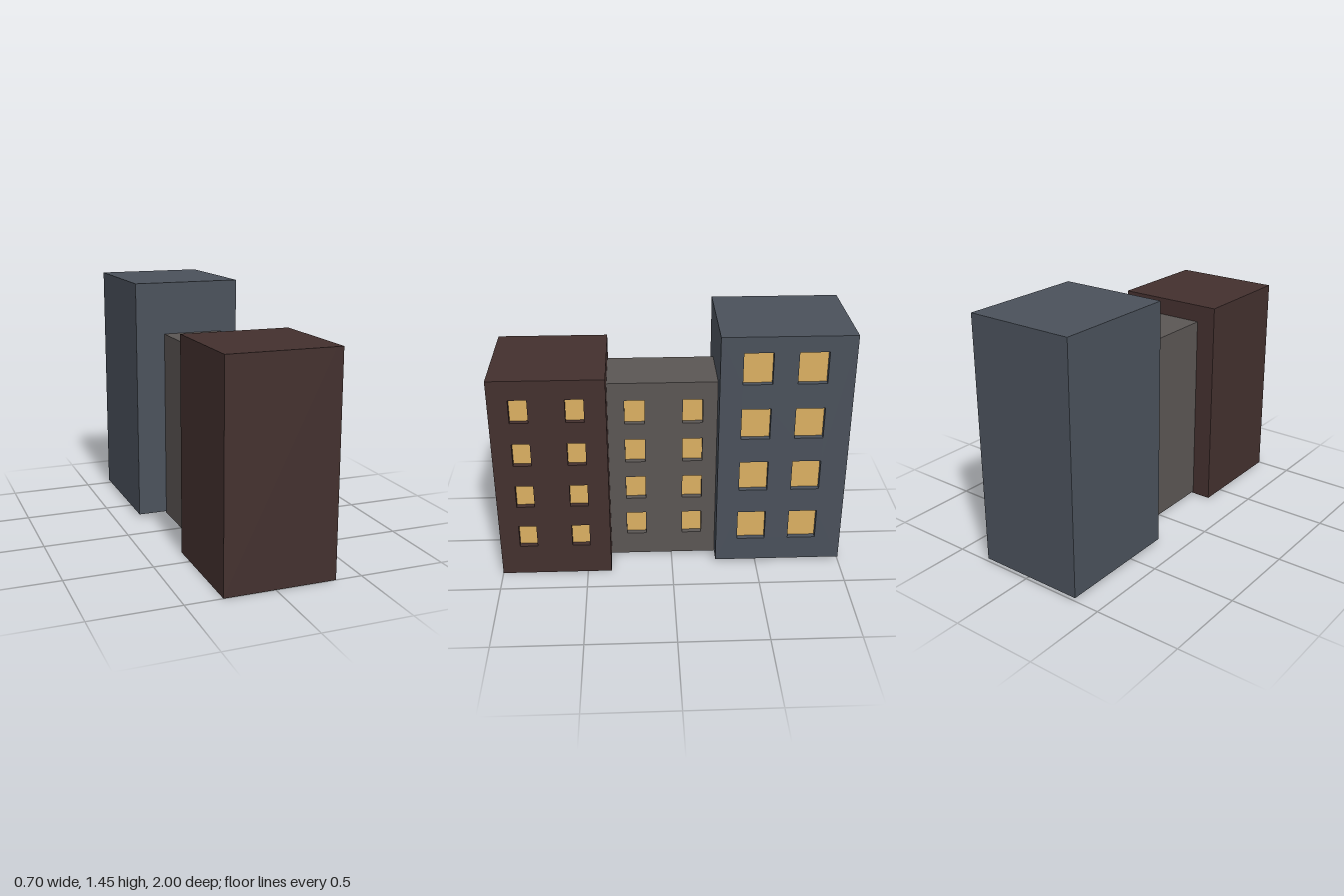
import * as THREE from 'three';

const DEPTH = 0.035; // window recess
const material = (color) => new THREE.MeshStandardMaterial({ color, flatShading: true });
const glass = material(0xdcb062);

function addMesh(parent, name, geometry, mat) {
  const mesh = new THREE.Mesh(geometry, mat);
  mesh.name = name;
  parent.add(mesh);
  return mesh;
}

// A block with recessed windows on its +x side.
// x, y, z are [min, max]; columns are window centres in z, rows are window centres in y.
function building({ name, color, x, y, z, columns, rows, w, h }) {
  const group = new THREE.Group();
  group.name = name;
  const mat = material(color);
  const back = x[1] - DEPTH;

  // Solid core behind the window wall
  const core = addMesh(group, 'core', new THREE.BoxGeometry(back - x[0], y[1] - y[0], z[1] - z[0]), mat);
  core.position.set((x[0] + back) / 2, (y[0] + y[1]) / 2, (z[0] + z[1]) / 2);

  // Window wall, drawn in (-z, y) and extruded towards +x
  const rectangle = (target, u0, v0, u1, v1) =>
    target.moveTo(u0, v0).lineTo(u1, v0).lineTo(u1, v1).lineTo(u0, v1).closePath();
  const wall = rectangle(new THREE.Shape(), -z[1], y[0], -z[0], y[1]);
  for (const cz of columns) {
    for (const cy of rows) {
      wall.holes.push(rectangle(new THREE.Path(), -cz - w / 2, cy - h / 2, -cz + w / 2, cy + h / 2));
      // Lit pane at the bottom of the recess
      const pane = addMesh(group, 'windowPane', new THREE.PlaneGeometry(w, h), glass);
      pane.rotation.y = Math.PI / 2;
      pane.position.set(back + 0.003, cy, cz);
    }
  }
  const geometry = new THREE.ExtrudeGeometry(wall, { depth: DEPTH, bevelEnabled: false });
  geometry.rotateY(Math.PI / 2);
  addMesh(group, 'windowWall', geometry, mat).position.x = back;
  return group;
}

export function createModel() {
  const model = new THREE.Group();
  model.name = 'apartmentRow';
  model.add(
    building({
      name: 'frontBuilding', color: 0x43302e,
      x: [-0.29, 0.347], y: [0, 1.246], z: [0.361, 1],
      columns: [0.837, 0.532], rows: [0.257, 0.526, 0.795, 1.063], w: 0.102, h: 0.138,
    }),
    building({
      name: 'middleBuilding', color: 0x5b5654,
      x: [-0.175, 0.18], y: [0.01, 1.145], z: [-0.272, 0.365],
      columns: [0.208, -0.121], rows: [0.224, 0.471, 0.718, 0.965], w: 0.114, h: 0.147,
    }),
    building({
      name: 'backBuilding', color: 0x4a515b,
      x: [-0.35, 0.287], y: [0.02, 1.452], z: [-1, -0.26],
      columns: [-0.467, -0.768], rows: [0.26, 0.595, 0.93, 1.266], w: 0.163, h: 0.186,
    }),
  );
  return model;
}
